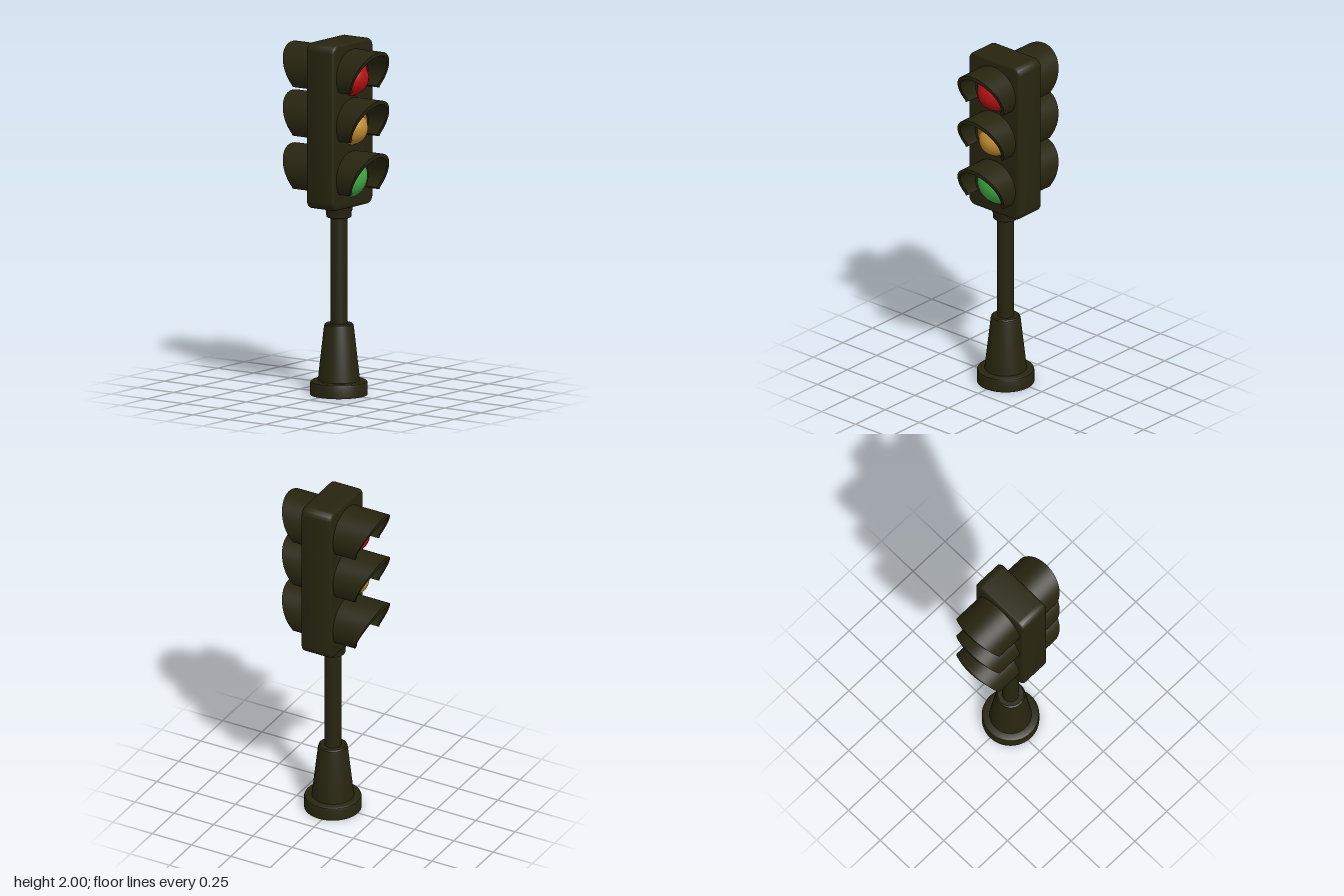
import * as THREE from 'three';
import { toCreasedNormals } from 'three/addons/utils/BufferGeometryUtils.js';

const material = (name, color) => {
  const m = new THREE.MeshStandardMaterial({ color });
  m.name = name;
  return m;
};

// Half-pipe visor: an elliptical shell whose front edge slopes back toward its lower ends
function visorGeometry() {
  const n = 40, start = -0.56, sweep = Math.PI + 1.12;
  const pos = [], index = [];
  for (let i = 0; i <= n; i++) {
    const a = start + (sweep * i) / n, c = Math.cos(a), s = Math.sin(a);
    const front = 0.2 + 0.1 * Math.max(0, (s * 0.15 + 0.066) / 0.216);
    pos.push(0.16 * c, 0.15 * s, 0.06, 0.16 * c, 0.15 * s, front);
    pos.push(0.137 * c, 0.128 * s, front, 0.137 * c, 0.128 * s, 0.06);
    if (i === n) break;
    for (let k = 0; k < 4; k++) {
      const p = i * 4 + k, q = i * 4 + ((k + 1) % 4);
      index.push(p, p + 4, q, q, p + 4, q + 4);
    }
  }
  const e = n * 4;
  index.push(0, 1, 2, 0, 2, 3, e, e + 2, e + 1, e, e + 3, e + 2);
  const g = new THREE.BufferGeometry();
  g.setAttribute('position', new THREE.Float32BufferAttribute(pos, 3));
  g.setIndex(index);
  return toCreasedNormals(g, 0.6);
}

// Rounded box with a rounded-rectangle front outline
function housingGeometry() {
  const bevel = 0.018, w = 0.19 - bevel, h = 0.468 - bevel, r = 0.03;
  const s = new THREE.Shape();
  s.absarc(w - r, h - r, r, 0, Math.PI / 2);
  s.absarc(-w + r, h - r, r, Math.PI / 2, Math.PI);
  s.absarc(-w + r, -h + r, r, Math.PI, Math.PI * 1.5);
  s.absarc(w - r, -h + r, r, Math.PI * 1.5, Math.PI * 2);
  const g = new THREE.ExtrudeGeometry(s, {
    depth: 0.19 - 2 * bevel, bevelSize: bevel, bevelThickness: bevel, bevelSegments: 4, curveSegments: 8,
  });
  g.translate(0, 1.532, -0.07 + bevel);
  return toCreasedNormals(g, 0.6);
}

export function createModel() {
  const model = new THREE.Group();
  const dark = material('dark olive metal', 0x27250f);
  const red = material('red glass', 0xb81014);
  const deepRed = material('deep red glass', 0x941418);
  const amber = material('amber glass', 0xc28c30);
  const deepAmber = material('deep amber glass', 0x8f5812);
  const green = material('green glass', 0x43ae48);

  const add = (parent, name, geometry, mat) => {
    const m = new THREE.Mesh(geometry, mat);
    m.name = name;
    parent.add(m);
    return m;
  };
  const lathe = (name, points) => {
    const g = new THREE.LatheGeometry(points.map(([x, y]) => new THREE.Vector2(x, y)), 48);
    add(model, name, toCreasedNormals(g, 0.6), dark).position.z = 0.02;
  };

  // Hollow-bottomed foot, tapered sleeve, pole and collar
  lathe('base', [[0, 0.055], [0.145, 0.055], [0.15, 0], [0.16, 0], [0.16, 0.065],
    [0.157, 0.074], [0.148, 0.08], [0.1, 0.08]]);
  lathe('sleeve', [[0.118, 0.075], [0.083, 0.385], [0.08, 0.396], [0.072, 0.402], [0.03, 0.402]]);
  lathe('pole', [[0.047, 0.38], [0.047, 1.03]]);
  lathe('collar', [[0.03, 1.0], [0.064, 1.0], [0.07, 1.004], [0.071, 1.035], [0.075, 1.042], [0.075, 1.08]]);

  add(model, 'housing', housingGeometry(), dark);

  // Lights: the same set faces front and back
  const visor = visorGeometry();
  const dome = new THREE.SphereGeometry(1, 40, 20, 0, Math.PI * 2, 0, Math.PI / 2).rotateX(Math.PI / 2);
  const lights = [
    { name: 'red', y: 1.81, outer: deepRed, inner: red, size: [0.11, 0.102], drop: -0.016 },
    { name: 'amber', y: 1.535, outer: deepAmber, inner: amber, size: [0.096, 0.098], drop: -0.022 },
    { name: 'green', y: 1.236, outer: green },
  ];
  for (const side of ['front', 'back']) {
    const set = new THREE.Group();
    set.name = side + 'Lights';
    if (side === 'back') set.rotation.y = Math.PI;
    for (const l of lights) {
      add(set, l.name + 'Visor', visor, dark).position.y = l.y;
      const lens = add(set, l.name + 'Lens', dome, l.outer);
      lens.position.set(0, l.y, 0.07);
      lens.scale.set(0.135, 0.124, 0.11);
      if (l.inner) {
        const bulb = add(set, l.name + 'LensCentre', dome, l.inner);
        bulb.position.set(0, l.y + l.drop, 0.09);
        bulb.scale.set(l.size[0], l.size[1], 0.11);
      }
    }
    model.add(set);
  }
  return model;
}
